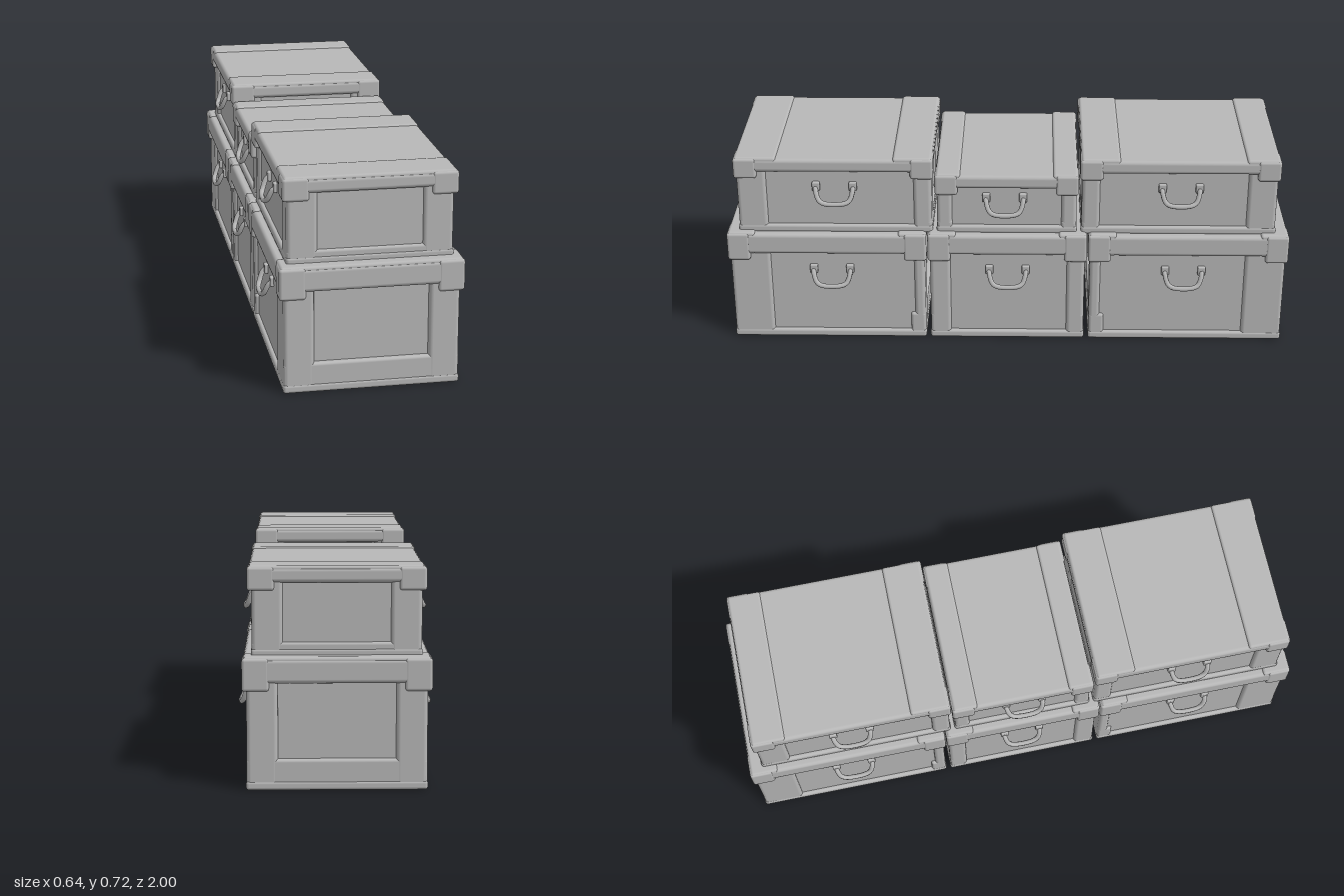
import * as THREE from 'three';
import { RoundedBoxGeometry } from 'three/addons/geometries/RoundedBoxGeometry.js';

const grey = new THREE.MeshStandardMaterial({ color: 0xb8b8b8 });
grey.name = 'weathered grey';

// Softly rounded block given by its extents on each axis
function block(parent, name, [x0, x1], [y0, y1], [z0, z1], r = 0.01) {
  const w = x1 - x0, h = y1 - y0, d = z1 - z0;
  const radius = Math.min(r, w * 0.45, h * 0.45, d * 0.45);
  const mesh = new THREE.Mesh(new RoundedBoxGeometry(w, h, d, 2, radius), grey);
  mesh.position.set((x0 + x1) / 2, (y0 + y1) / 2, (z0 + z1) / 2);
  mesh.name = name;
  parent.add(mesh);
}

// Drooping carry handle with two mounting lugs, on the side given by s
function handle(parent, s, x, y, z) {
  const group = new THREE.Group();
  group.name = s > 0 ? 'leftHandle' : 'rightHandle';
  const points = [
    [-0.005, 0.02, -0.065], [0.014, 0.01, -0.066], [0.03, -0.025, -0.054], [0.036, -0.035, -0.035],
    [0.036, -0.035, 0.035], [0.03, -0.025, 0.054], [0.014, 0.01, 0.066], [-0.005, 0.02, 0.065],
  ].map(([a, b, c]) => new THREE.Vector3(a * s, b, c));
  const grip = new THREE.Mesh(
    new THREE.TubeGeometry(new THREE.CatmullRomCurve3(points), 28, 0.009, 7), grey);
  grip.name = 'grip';
  group.add(grip);
  for (const e of [-1, 1]) {
    const xs = [-0.006 * s, 0.012 * s].sort((a, b) => a - b);
    block(group, 'handleLug', xs, [0.002, 0.036], [e * 0.065 - 0.014, e * 0.065 + 0.014], 0.005);
  }
  group.position.set(s * x, y, z);
  parent.add(group);
}

// Crate with recessed panels between corner posts, a lid, strap bands and handles
function crate(parent, name, c) {
  const group = new THREE.Group();
  group.name = name;
  const { half, z, y, lid, postFront, postBack, handleY, handleZ } = c;
  const [z0, z1] = z, [y0, y1] = y;
  const inset = 0.012, body = half - 0.012, lidY = y1 - lid;
  const endInset = c.endInset;

  block(group, 'body', [-body + inset, body - inset], [y0, y1 - 0.02], [z0 + endInset, z1 - endInset]);
  block(group, 'base', [-body - 0.002, body + 0.002], [y0, y0 + 0.03], [z0 + 0.004, z1 - 0.004]);
  block(group, 'lid', [-half, half], [lidY, y1 - 0.006], [z0, z1], 0.014);

  for (const s of [-1, 1]) {
    const across = (a, b) => [s * a, s * b].sort((p, q) => p - q);
    // Corner posts
    const xs = across(body - c.postX, body);
    block(group, 'cornerPost', xs, [y0, y1 - 0.02], [z1 - postFront, z1 - 0.006], 0.014);
    block(group, 'cornerPost', xs, [y0, y1 - 0.02], [z0 + 0.006, z0 + postBack], 0.014);
    // Corner brackets below the lid
    const bx = across(half - 0.085, half + 0.002);
    block(group, 'lidBracket', bx, [lidY - 0.025, y1 - 0.004], [z1 - 0.08, z1 + 0.001]);
    block(group, 'lidBracket', bx, [lidY - 0.025, y1 - 0.004], [z0 - 0.001, z0 + 0.08]);
    handle(group, s, body - inset, handleY, handleZ);
  }
  // Lower rails on both ends
  block(group, 'endRail', [-body, body], [y0, y0 + c.rail], [z1 - 0.06, z1 - 0.007]);
  block(group, 'endRail', [-body, body], [y0, y0 + c.rail], [z0 + 0.007, z0 + 0.06]);
  // Raised straps over the lid
  block(group, 'lidStrap', [-half + 0.002, half - 0.002], [lidY, y1], [z1 - c.strapFront, z1 - 0.003]);
  block(group, 'lidStrap', [-half + 0.002, half - 0.002], [lidY, y1], [z0 + 0.003, z0 + c.strapBack]);
  parent.add(group);
}

export function createModel() {
  const model = new THREE.Group();
  model.name = 'crateStack';

  // Bottom row of three large crates
  const lower = {
    half: 0.3, y: [0.005, 0.435], lid: 0.085, postX: 0.1, rail: 0.1, endInset: 0.025,
    handleY: 0.265, strapFront: 0.1, strapBack: 0.1,
  };
  crate(model, 'lowerFrontCrate', { ...lower, z: [0.29, 0.998], postFront: 0.15, postBack: 0.045, handleZ: 0.63 });
  crate(model, 'lowerMiddleCrate', { ...lower, z: [-0.282, 0.284], postFront: 0.08, postBack: 0.07, handleZ: 0 });
  crate(model, 'lowerBackCrate', { ...lower, z: [-0.998, -0.288], postFront: 0.045, postBack: 0.15, handleZ: -0.63 });

  // Top row, with a shorter crate in the middle
  const upper = { half: 0.283, lid: 0.055, postX: 0.1, rail: 0.05, endInset: 0.016 };
  crate(model, 'upperFrontCrate', {
    ...upper, y: [0.425, 0.72], z: [0.262, 0.96], postFront: 0.11, postBack: 0.07,
    strapFront: 0.15, strapBack: 0.14, handleY: 0.585, handleZ: 0.61,
  });
  crate(model, 'upperMiddleCrate', {
    ...upper, y: [0.425, 0.66], z: [-0.25, 0.256], postFront: 0.06, postBack: 0.06,
    strapFront: 0.09, strapBack: 0.09, handleY: 0.545, handleZ: 0.01,
  });
  crate(model, 'upperBackCrate', {
    ...upper, y: [0.425, 0.72], z: [-0.955, -0.256], postFront: 0.07, postBack: 0.11,
    strapFront: 0.14, strapBack: 0.12, handleY: 0.585, handleZ: -0.61,
  });
  return model;
}
